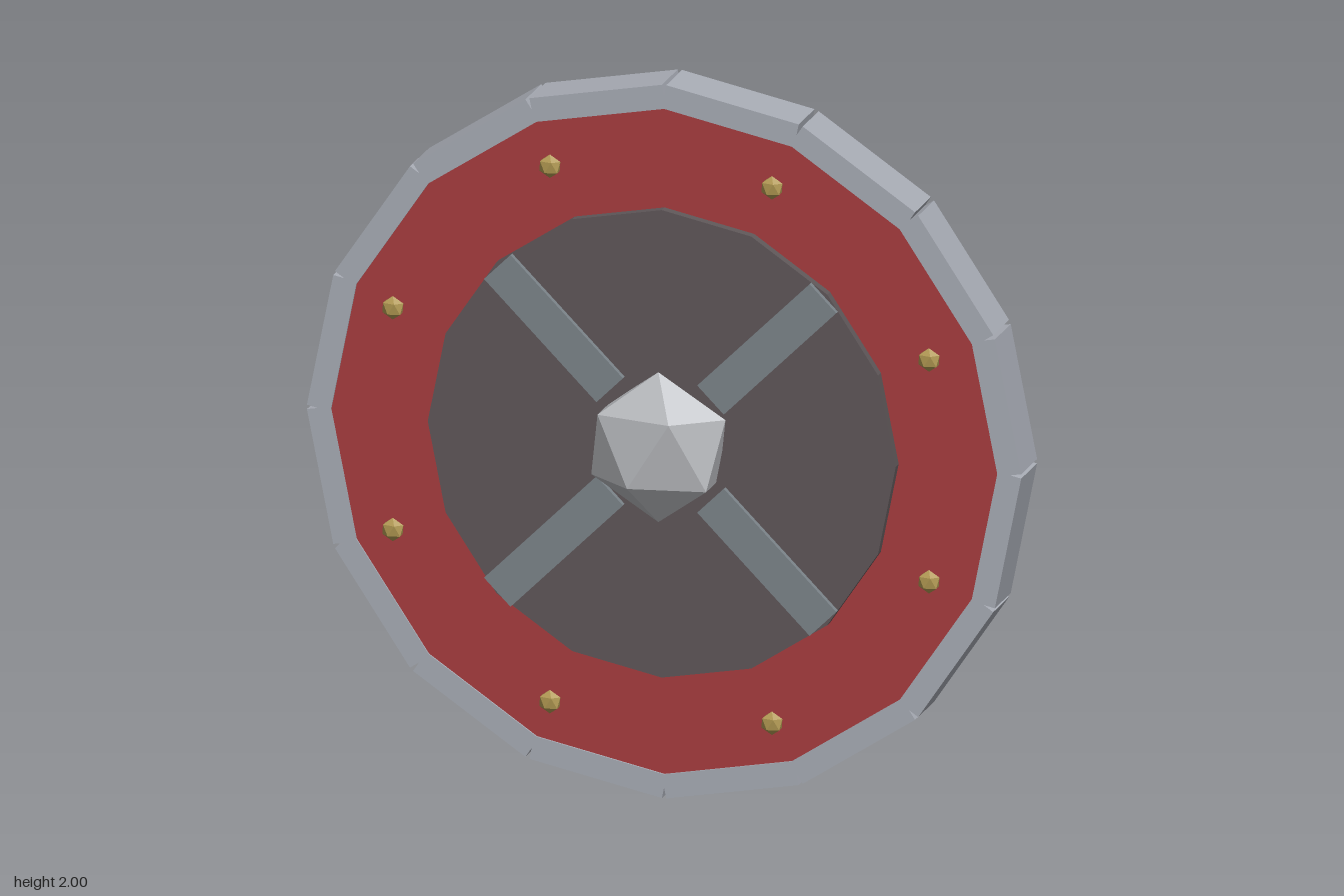
import * as THREE from 'three';
import { ConvexGeometry } from 'three/addons/geometries/ConvexGeometry.js';

const SIDES = 16;
const CENTER_Y = 1;

function makeMaterial(name, color) {
  const m = new THREE.MeshStandardMaterial({ color });
  m.name = name;
  m.flatShading = true;
  return m;
}

// Twenty-sided gem with a vertex at the top, flattened along z
function gemGeometry(radius, depthScale) {
  const points = [new THREE.Vector3(0, radius, 0), new THREE.Vector3(0, -radius, 0)];
  for (let i = 0; i < 10; i++) {
    const a = (i * Math.PI) / 5;
    const r = radius * 0.8944;
    const y = radius * (i % 2 === 0 ? 0.4472 : -0.4472);
    points.push(new THREE.Vector3(Math.cos(a) * r, y, Math.sin(a) * r * depthScale));
  }
  return new ConvexGeometry(points);
}

// Disc facing z, between two depths
function discGeometry(radius, back, front, sides) {
  return new THREE.CylinderGeometry(radius, radius, front - back, sides)
    .rotateX(Math.PI / 2)
    .translate(0, 0, (front + back) / 2);
}

export function createModel() {
  const steel = makeMaterial('rim steel', 0xa8acb5);
  const bossSteel = makeMaterial('boss steel', 0xb6b8bc);
  const iron = makeMaterial('strap iron', 0x7c848a);
  const darkIron = makeMaterial('dark iron', 0x5f5759);
  const red = makeMaterial('red paint', 0xa83c3f);
  const wood = makeMaterial('wood', 0x795d49);
  const brass = makeMaterial('brass', 0xae9650);

  const shield = new THREE.Group();
  shield.name = 'shield';
  const body = new THREE.Group();
  body.name = 'shieldBody';
  body.position.y = CENTER_Y;
  shield.add(body);

  const add = (name, geometry, material, x = 0, y = 0, z = 0, parent = body) => {
    const mesh = new THREE.Mesh(geometry, material);
    mesh.name = name;
    mesh.position.set(x, y, z);
    parent.add(mesh);
    return mesh;
  };

  // Face, backing and central plate
  add('redFace', discGeometry(0.935, -0.03, 0.03, SIDES), red);
  add('woodBacking', discGeometry(0.935, -0.1, -0.03, SIDES), wood);
  add('centerPlate', discGeometry(0.655, 0.0, 0.055, SIDES), darkIron);

  // Rim of straight blocks, slightly notched at the outer corners
  const rim = new THREE.Group();
  rim.name = 'rim';
  body.add(rim);
  const rimGeometry = new THREE.BoxGeometry(0.067, 0.378, 0.14);
  for (let i = 0; i < SIDES; i++) {
    const a = ((i + 0.5) * 2 * Math.PI) / SIDES;
    const block = add('rimBlock', rimGeometry, steel,
      Math.cos(a) * 0.948, Math.sin(a) * 0.948, -0.035, rim);
    block.rotation.z = a;
  }

  // Four diagonal straps
  const strapGeometry = new THREE.BoxGeometry(0.445, 0.105, 0.03);
  for (let i = 0; i < 4; i++) {
    const a = ((i + 0.5) * Math.PI) / 2;
    const strap = add('strap', strapGeometry, iron,
      Math.cos(a) * 0.422, Math.sin(a) * 0.422, 0.055);
    strap.rotation.z = a;
  }

  // Faceted boss
  add('boss', gemGeometry(0.21, 0.53), bossSteel, 0, 0, 0.085);

  // Ring of rivets
  const rivetGeometry = gemGeometry(0.033, 0.65);
  for (let i = 0; i < 8; i++) {
    const a = ((i + 0.5) * Math.PI) / 4;
    add('rivet', rivetGeometry, brass, Math.cos(a) * 0.812, Math.sin(a) * 0.812, 0.063);
  }

  // Grip and arm brace on the back
  add('grip', new THREE.BoxGeometry(0.62, 0.085, 0.055), wood, 0, 0, -0.1525);
  add('gripMount', discGeometry(0.055, -0.145, -0.1, 8), iron);
  add('armBrace', new THREE.BoxGeometry(0.1, 0.225, 0.06), wood, 0, 0.353, -0.15);

  return shield;
}
